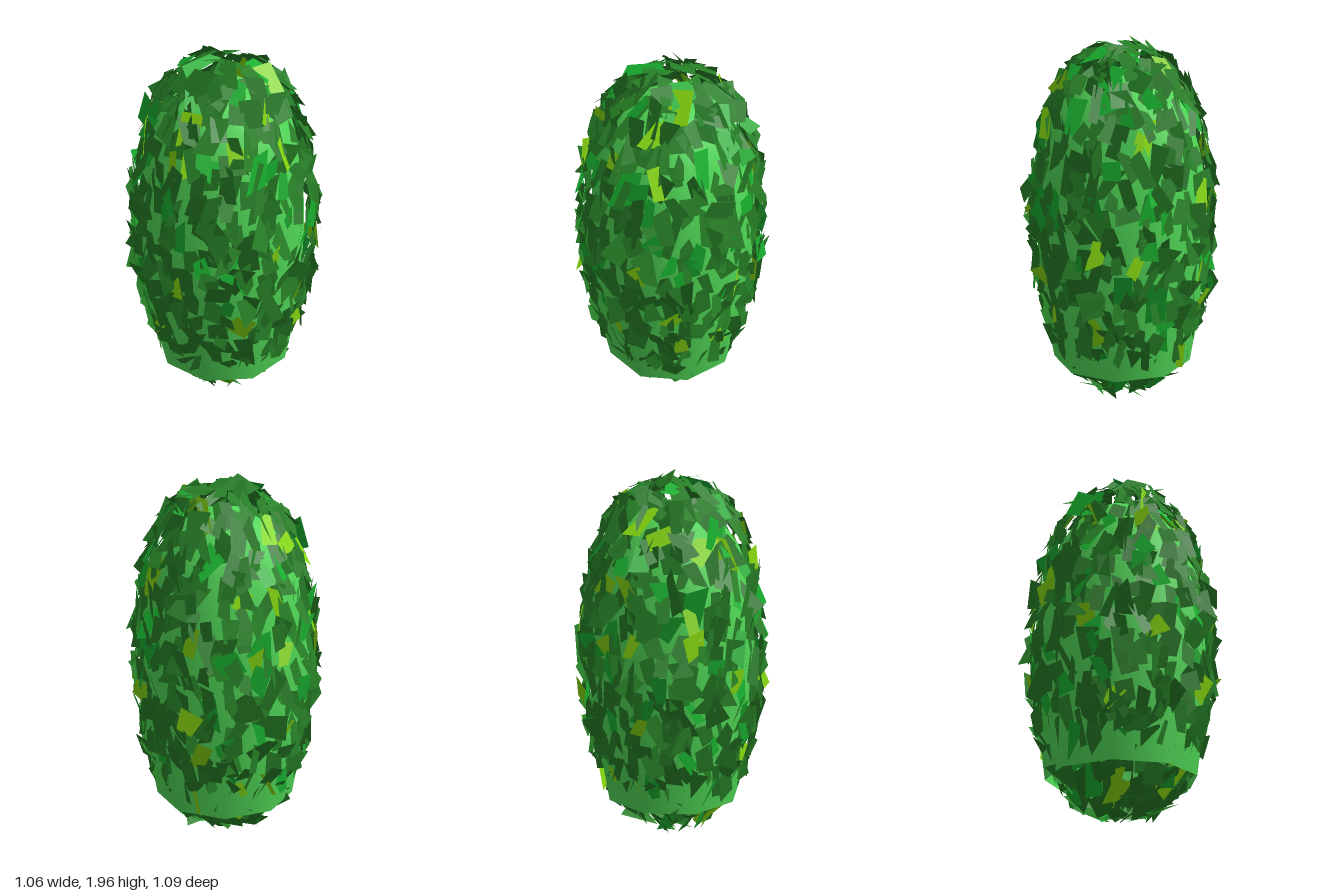
import * as THREE from 'three';

// Small seeded generator so the foliage is the same every time
function seeded(seed) {
  let s = seed;
  return () => {
    s = (s * 16807) % 2147483647;
    return s / 2147483647;
  };
}

const LEAF_COUNT = 740;
const GOLDEN = Math.PI * (3 - Math.sqrt(5));

// Irregular four-cornered leaf card, tilted off the foliage surface
function leafCorners(index, rand) {
  const spread = (amount) => (rand() - 0.5) * 2 * amount;
  const s = THREE.MathUtils.clamp(1 - (2 * (index + 0.5)) / LEAF_COUNT + spread(0.03), -0.998, 0.998);
  const a = index * GOLDEN + spread(0.15);
  const c = Math.sqrt(1 - s * s);
  const r = 0.487 * Math.pow(c, 0.78) + spread(0.012);
  const centre = new THREE.Vector3(Math.cos(a) * r, 1 + 0.94 * s, Math.sin(a) * r);

  // Frame: outward normal, sideways and up along the surface
  const slope = 0.4 * s * Math.pow(c, -1.22);
  const normal = new THREE.Vector3(Math.cos(a), slope, Math.sin(a)).normalize();
  const side = new THREE.Vector3(Math.sin(a), 0, -Math.cos(a));
  const up = new THREE.Vector3().crossVectors(normal, side);
  const frame = new THREE.Matrix4().makeBasis(side, up, normal);
  frame.multiply(new THREE.Matrix4().makeRotationFromEuler(
    new THREE.Euler(spread(0.35), spread(0.6), spread(0.5))));

  const w = 0.032 + rand() * 0.034;
  const h = 0.05 + rand() * 0.05;
  return [[-1, -1], [1, -1], [1, 1], [-1, 1]].map(([x, y]) =>
    new THREE.Vector3(x * w * (0.3 + rand() * 1.0), y * h * (0.5 + rand() * 0.8), 0)
      .applyMatrix4(frame).add(centre));
}

export function createModel() {
  const group = new THREE.Group();
  group.name = 'bush';
  const rand = seeded(4711);

  // Smooth inner crown, open underneath
  const profile = [
    [0.385, 0.235], [0.415, 0.42], [0.452, 0.75], [0.458, 1.05],
    [0.43, 1.35], [0.365, 1.58], [0.25, 1.74], [0.12, 1.81], [0, 1.83],
  ].map(([r, y]) => new THREE.Vector2(r, y));
  const crown = new THREE.Mesh(
    new THREE.LatheGeometry(profile, 9, 0.25),
    new THREE.MeshStandardMaterial({ color: 0x4fd655, side: THREE.DoubleSide }));
  crown.name = 'innerCrown';
  group.add(crown);

  // Leaf cards sorted into three shades
  const shades = [
    { name: 'darkLeaves', color: 0x267f26, share: 0.83, points: [] },
    { name: 'brightLeaves', color: 0x18b02f, share: 0.94, points: [] },
    { name: 'limeLeaves', color: 0x86d80f, share: 1, points: [] },
  ];
  for (let i = 0; i < LEAF_COUNT; i++) {
    const pick = rand();
    const [p, q, r, s] = leafCorners(i, rand);
    shades.find((shade) => pick <= shade.share).points.push(p, q, r, p, r, s);
  }
  for (const { name, color, points } of shades) {
    const geometry = new THREE.BufferGeometry().setFromPoints(points);
    geometry.computeVertexNormals();
    const leaves = new THREE.Mesh(geometry,
      new THREE.MeshStandardMaterial({ color, flatShading: true, side: THREE.DoubleSide }));
    leaves.name = name;
    group.add(leaves);
  }
  return group;
}
